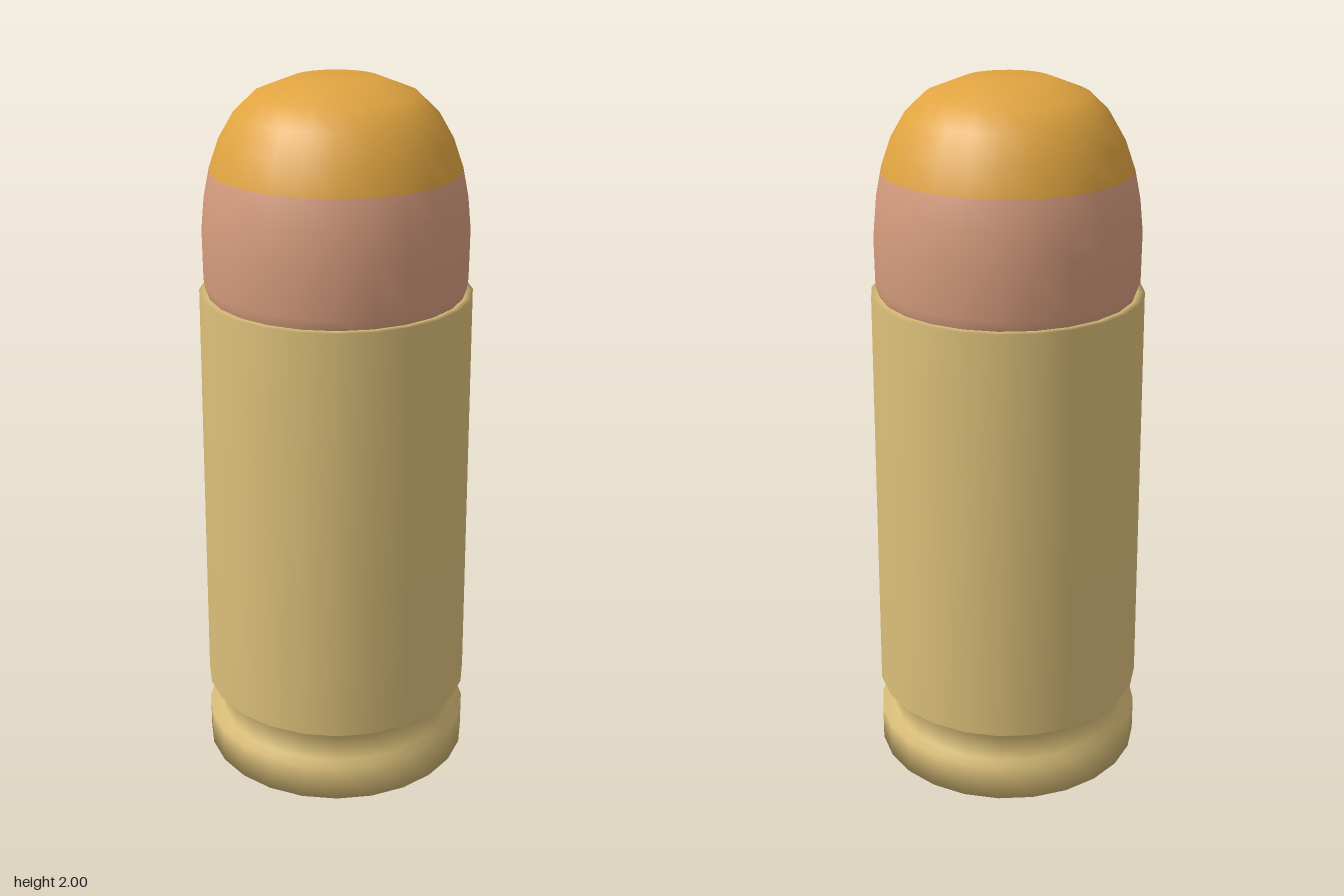
import * as THREE from 'three';

const SIDES = 24;

function lathe(profile) {
  return new THREE.LatheGeometry(profile.map(([r, y]) => new THREE.Vector2(r, y)), SIDES);
}

// Keep only profile rows from..to of a lathe, so split colours share smooth normals
function rows(geometry, rowCount, from, to) {
  const source = geometry.index.array;
  const index = [];
  for (let s = 0; s < SIDES; s++) {
    for (let r = from; r < to; r++) {
      const start = (s * rowCount + r) * 6;
      index.push(...source.slice(start, start + 6));
    }
  }
  const part = geometry.clone();
  part.setIndex(index);
  return part;
}

export function createModel() {
  const group = new THREE.Group();
  const material = (name, color) => new THREE.MeshStandardMaterial({ name, color });
  const brass = material('brass', 0xdcc07a);
  const copper = material('copper', 0xd69c7e);
  const amber = material('amber', 0xe0a440);

  const add = (name, geometry, mat) => {
    const mesh = new THREE.Mesh(geometry, mat);
    mesh.name = name;
    group.add(mesh);
  };

  // Casing: base, rim, groove, slightly tapered wall and lip
  add('casing', lathe([
    [0, 0], [0.388, 0], [0.388, 0.105], [0.347, 0.105],
    [0.347, 0.185], [0.388, 0.215], [0.379, 1.42], [0.355, 1.42],
  ]), brass);

  // Rounded nose: lower jacket and coloured tip
  const nose = [
    [0.352, 1.41], [0.366, 1.45], [0.367, 1.59], [0.358, 1.68], [0.342, 1.76],
    [0.314, 1.84], [0.273, 1.91], [0.22, 1.96], [0.118, 2], [0, 2],
  ];
  const noseGeometry = lathe(nose);
  const count = nose.length - 1;
  // The pole row is a full quad row with one degenerate half, so rows stay regular
  add('jacket', rows(noseGeometry, count, 0, 4), copper);
  add('tip', rows(noseGeometry, count, 4, count), amber);

  return group;
}
